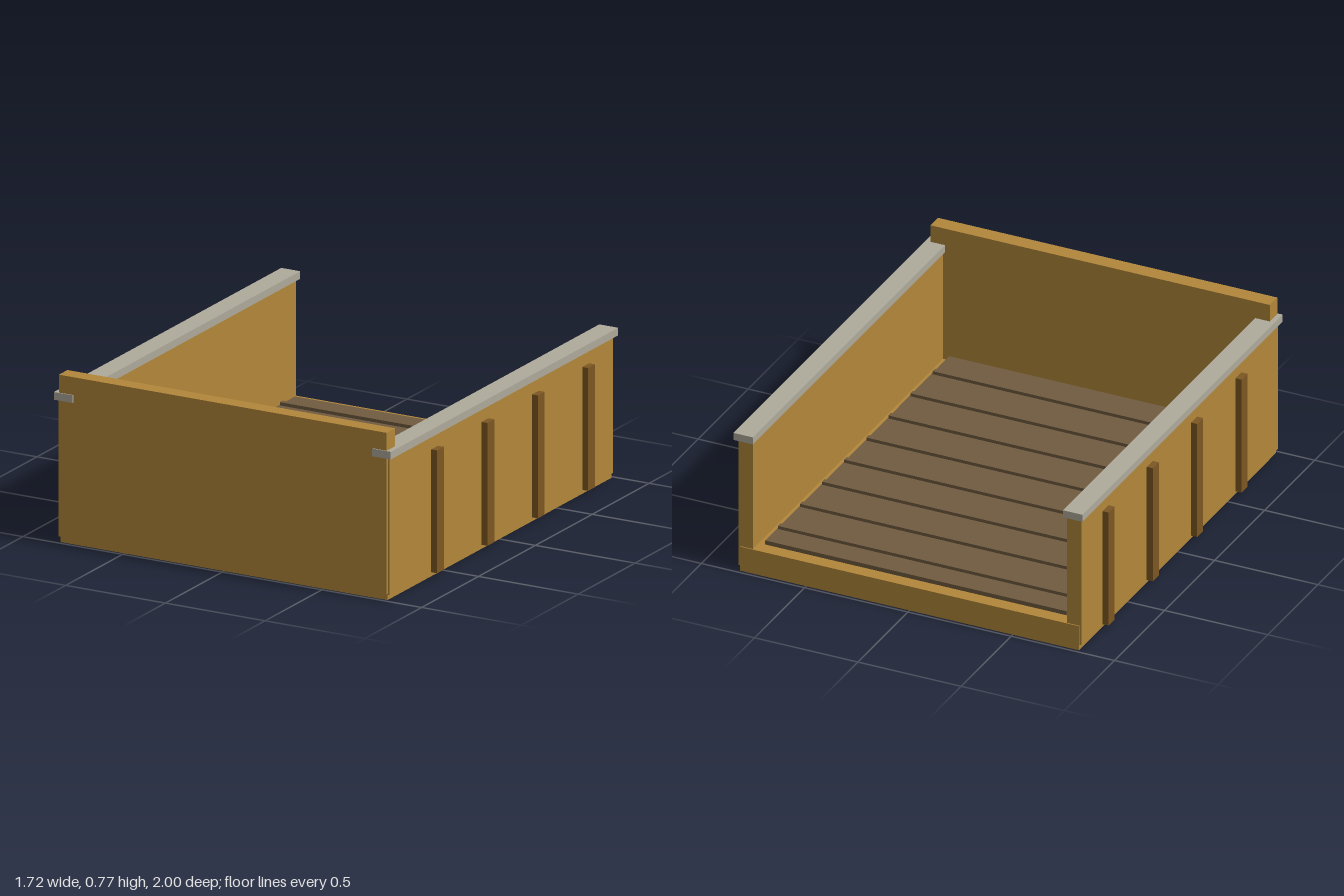
import * as THREE from 'three';

export function createModel() {
  const group = new THREE.Group();
  const material = (name, color) => {
    const m = new THREE.MeshStandardMaterial({ color });
    m.name = name;
    return m;
  };
  const ochre = material('ochre panel', 0xb2873a);
  const brown = material('brown rib', 0x7d5722);
  const umber = material('umber floor', 0x705b40);
  const grey = material('grey rail', 0xaeaa9b);

  // Box given by its extents along each axis
  const box = (name, mat, [x0, x1], [y0, y1], [z0, z1]) => {
    const mesh = new THREE.Mesh(new THREE.BoxGeometry(x1 - x0, y1 - y0, z1 - z0), mat);
    mesh.position.set((x0 + x1) / 2, (y0 + y1) / 2, (z0 + z1) / 2);
    mesh.name = name;
    group.add(mesh);
  };

  // Bed base, raised floor liner and tall front board
  box('base', ochre, [-0.82, 0.82], [0, 0.12], [-0.985, 0.985]);
  box('floorLiner', umber, [-0.73, 0.73], [0.12, 0.14], [-0.92, 0.92]);
  box('frontBoard', ochre, [-0.822, 0.822], [0.03, 0.77], [0.92, 0.995]);

  // Cross slats on the floor
  for (let i = 0; i < 8; i++) {
    const z = -0.79 + i * 0.2207;
    box('floorSlat', umber, [-0.725, 0.725], [0.14, 0.155], [z - 0.0125, z + 0.0125]);
  }

  // Side walls with top rails and outer ribs
  for (const side of [-1, 1]) {
    const span = (a, b) => (side > 0 ? [a, b] : [-b, -a]);
    box('sideWall', ochre, span(0.76, 0.83), [0.025, 0.655], [-0.98, 0.985]);
    box('topRail', grey, span(0.75, 0.845), [0.653, 0.688], [-1, 1]);
    for (let i = 0; i < 4; i++) {
      const z = -0.74 + i * 0.4425;
      box('sideRib', brown, span(0.825, 0.86), [0.025, 0.588], [z - 0.03, z + 0.03]);
    }
  }
  return group;
}
